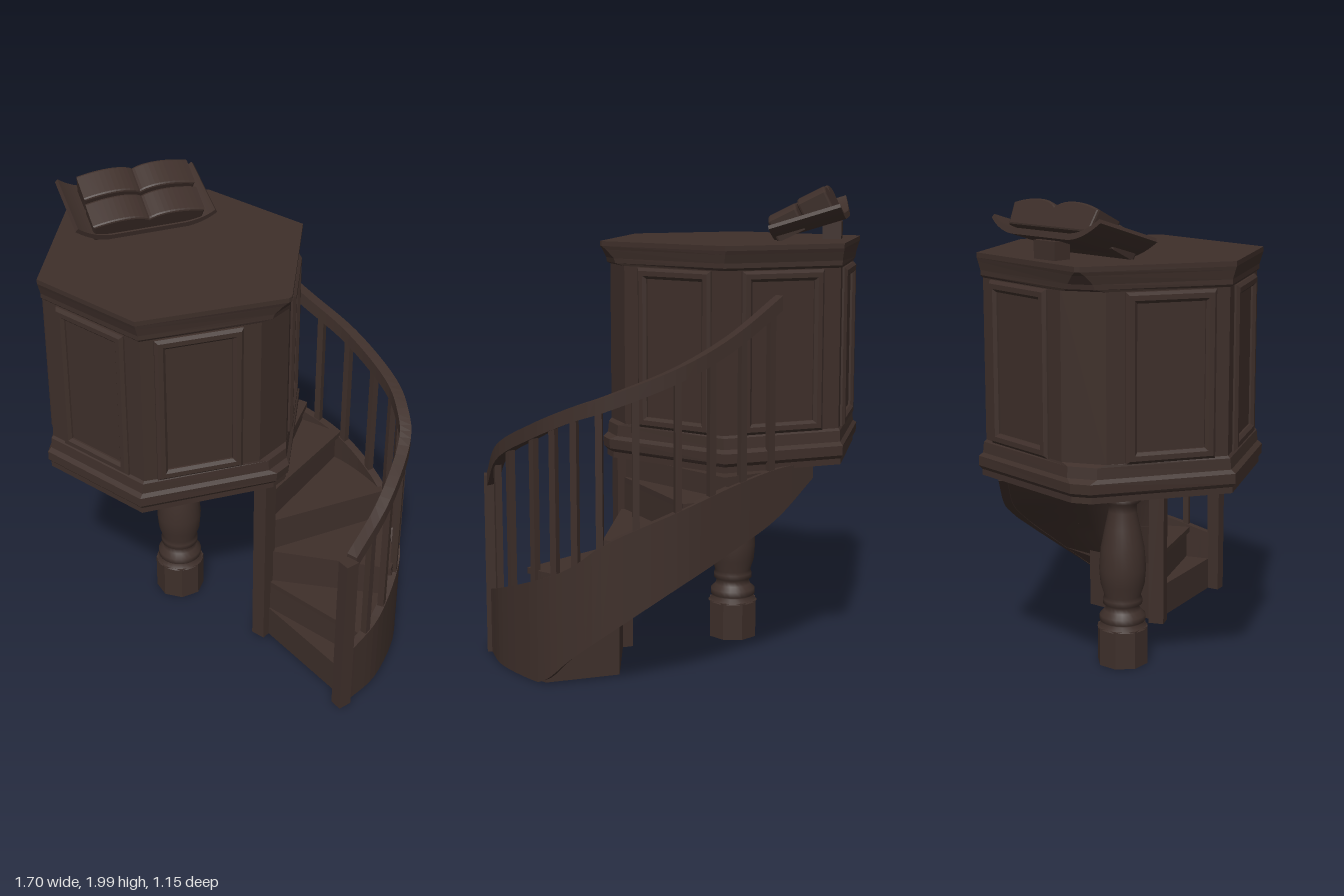
import * as THREE from 'three';
import { mergeVertices } from 'three/addons/utils/BufferGeometryUtils.js';

const wood = new THREE.MeshStandardMaterial({ color: 0x3e2f2a, side: THREE.DoubleSide });
wood.name = 'dark brown wood';

const V = (x, y, z) => new THREE.Vector3(x, y, z);

function mesh(name, geometry, parent, x = 0, y = 0, z = 0) {
  const m = new THREE.Mesh(geometry, wood);
  m.name = name;
  m.position.set(x, y, z);
  parent.add(m);
  return m;
}

// Joins rings of points into a faceted skin, with fan caps when the rings are closed.
function loft(rings, closed = true) {
  const pos = [];
  const tri = (...pts) => pts.forEach((p) => pos.push(p.x, p.y, p.z));
  const n = rings[0].length;
  for (let i = 0; i < rings.length - 1; i++) {
    for (let j = 0; j < (closed ? n : n - 1); j++) {
      const k = (j + 1) % n;
      const [a, b, c, d] = [rings[i][j], rings[i][k], rings[i + 1][k], rings[i + 1][j]];
      tri(a, d, b);
      tri(b, d, c);
    }
  }
  if (closed) {
    const first = rings[0], last = rings[rings.length - 1];
    for (let j = 1; j < n - 1; j++) {
      tri(first[0], first[j], first[j + 1]);
      tri(last[0], last[j + 1], last[j]);
    }
  }
  const g = new THREE.BufferGeometry();
  g.setAttribute('position', new THREE.Float32BufferAttribute(pos, 3));
  g.computeVertexNormals();
  return g;
}

// Hexagon ring: front/back sides at z = a, half width m; side corners at x = c, blunted by w.
const hexRing = (y, a, m, c, w) => [[c, w], [c, -w], [m, -a], [-m, -a], [-c, -w], [-c, w], [-m, a], [m, a]]
  .map(([x, z]) => V(x, y, z));

function buildPulpit() {
  const g = new THREE.Group();
  g.name = 'pulpitBox';
  g.position.set(-0.245, 0, 0.04);
  const hex = (name, levels) => mesh(name, loft(levels.map((l) => hexRing(...l))), g);
  hex('baseMoulding', [[0.855, 0.525, 0.262, 0.57, 0.04], [0.88, 0.525, 0.262, 0.57, 0.04],
    [0.895, 0.538, 0.265, 0.585, 0.04], [0.935, 0.538, 0.265, 0.588, 0.04],
    [0.95, 0.52, 0.262, 0.56, 0.06], [0.995, 0.515, 0.262, 0.555, 0.06], [1.005, 0.505, 0.26, 0.533, 0.09]]);
  hex('body', [[1.0, 0.505, 0.26, 0.533, 0.09], [1.68, 0.505, 0.26, 0.533, 0.09]]);
  hex('cornice', [[1.67, 0.505, 0.26, 0.533, 0.09], [1.68, 0.515, 0.262, 0.56, 0.055],
    [1.7, 0.515, 0.262, 0.565, 0.05], [1.735, 0.525, 0.262, 0.59, 0.025],
    [1.75, 0.53, 0.262, 0.605, 0.01], [1.77, 0.53, 0.262, 0.605, 0.01]]);

  // Moulded panel frame on every side
  const rect = (S, w, h) => {
    const s = new S();
    s.moveTo(-w, -h); s.lineTo(w, -h); s.lineTo(w, h); s.lineTo(-w, h); s.closePath();
    return s;
  };
  const shape = rect(THREE.Shape, 0.17, 0.32);
  shape.holes.push(rect(THREE.Path, 0.15, 0.3));
  const frame = new THREE.ExtrudeGeometry(shape, {
    depth: 0.01, bevelThickness: 0.012, bevelSize: 0.012, bevelSegments: 1 });
  const turn = 0.988;
  for (const [x, z, t] of [[0, 0.503, 0], [0.39, 0.305, turn], [0.39, -0.305, Math.PI - turn],
    [0, -0.503, Math.PI], [-0.39, -0.305, Math.PI + turn], [-0.39, 0.305, -turn]]) {
    mesh('panelFrame', frame, g, x, 1.335, z).rotation.y = t;
  }
  return g;
}

function buildColumn() {
  const g = new THREE.Group();
  g.name = 'column';
  g.position.set(-0.247, 0, 0.04);
  mesh('columnBlock', new THREE.CylinderGeometry(0.11, 0.11, 0.165, 8).toNonIndexed(), g, 0, 0.0825, 0)
    .geometry.computeVertexNormals();
  const profile = [[0.108, 0.16], [0.085, 0.18], [0.098, 0.19], [0.098, 0.215], [0.078, 0.235],
    [0.07, 0.255], [0.084, 0.265], [0.084, 0.285], [0.078, 0.3], [0.094, 0.35], [0.1, 0.42],
    [0.093, 0.51], [0.075, 0.6], [0.06, 0.67], [0.06, 0.7], [0.078, 0.715], [0.078, 0.735],
    [0.062, 0.75], [0.075, 0.785], [0.11, 0.8], [0.12, 0.82], [0.12, 0.86]];
  mesh('columnShaft', new THREE.LatheGeometry(profile.map((p) => new THREE.Vector2(...p)), 24), g);
  return g;
}

function buildStair() {
  const g = new THREE.Group();
  g.name = 'spiralStair';
  // Outer line of the stair: x, z, stringer bottom, stringer top, rail height
  const table = [[0.808, 0.18, 0, 0.28, 0.77], [0.812, -0.02, 0, 0.34, 0.93],
    [0.735, -0.27, 0, 0.43, 1.05], [0.64, -0.39, 0.12, 0.5, 1.12],
    [0.5, -0.485, 0.25, 0.62, 1.18], [0.25, -0.55, 0.42, 0.73, 1.28],
    [0.02, -0.535, 0.54, 0.81, 1.39], [-0.2, -0.49, 0.65, 0.86, 1.53], [-0.39, -0.44, 0.8, 0.87, 1.66]];
  const last = table.length - 1, railEnd = 7.1 / last;
  const curve = (col) => new THREE.CatmullRomCurve3(
    table.map((r) => V(r[0], r[col], r[1])), false, 'catmullrom');
  const bottom = curve(2), top = curve(3), rail = curve(4);
  const samples = (start, end) => Array.from({ length: 41 }, (_, i) => start + (end - start) * i / 40);
  const low = (t) => Math.max(0, bottom.getPoint(t).y);

  // Upright rectangular section swept along the outer line
  const sweep = (end, y0, y1, half) => loft(samples(0, end).map((t) => {
    const p = rail.getPoint(t), d = rail.getTangent(t);
    const n = V(d.z, 0, -d.x).normalize().multiplyScalar(half);
    return [[1, y0], [1, y1], [-1, y1], [-1, y0]].map(([s, y]) =>
      V(p.x + n.x * s, y(t), p.z + n.z * s));
  }));
  mesh('stringer', sweep(1, low, (t) => top.getPoint(t).y, 0.018), g);
  mesh('handrail', sweep(railEnd, (t) => rail.getPoint(t).y - 0.035, (t) => rail.getPoint(t).y + 0.025, 0.024), g);

  // Smooth underside from an inner line out to the stringer
  const centre = V(0.27, 0, 0.05), baseCorner = V(0.41, 0, -0.31);
  const soffit = (i0, i1, inner) => {
    const skin = loft(samples(i0 / last, i1 / last).map((t, i) => {
      const p = rail.getPoint(t), q = inner(i / 40), y = low(t) + 0.002;
      return [0, 0.25, 0.5, 0.75, 1].map((f) => V(q.x + (p.x - q.x) * f, y, q.z + (p.z - q.z) * f));
    }), false);
    skin.deleteAttribute('normal');
    const smooth = mergeVertices(skin);
    smooth.computeVertexNormals();
    mesh('stairSoffit', smooth, g);
  };
  const baseEdge = rail.getPoint(2.15 / last);
  soffit(2.15, 3.9, (f) => baseEdge.clone().lerp(baseCorner, f));
  soffit(3.9, last, () => centre);

  // Wedge blocks from the centre out to the stringer
  const wedge = (i0, i1, y0, y1, extra = []) => loft([y0, y1].map((y) => {
    const ring = [V(centre.x, y, centre.z)];
    for (let k = 0; k <= 6; k++) {
      const p = rail.getPoint((i0 + (i1 - i0) * k / 6) / last);
      ring.push(V(p.x, y, p.z));
    }
    return ring.concat(extra.map((p) => V(p.x, y, p.z)));
  }));
  mesh('stairBase', wedge(0.6, 2.15, 0, 0.28, [baseCorner]), g);
  const steps = [[0, 0.6, 0, 0.15], [0.6, 1.75, 0.1, 0.3], [1.75, 3.9, 0.26, 0.465],
    [3.9, 5.2, 0.45, 0.62], [5.2, 6, 0.58, 0.76], [6, 7, 0.68, 0.85]];
  for (const [i0, i1, y0, y1] of steps) {
    mesh('step', wedge(i0, i1, y0, y1 - 0.02), g);
    mesh('tread', wedge(Math.max(0, i0 - 0.08), i1, y1 - 0.025, y1), g);
  }

  // Balusters and posts
  for (let i = 1; i <= 11; i++) {
    const t = railEnd * i / 11.3, p = rail.getPoint(t), d = rail.getTangent(t);
    const y0 = top.getPoint(t).y - 0.04, h = p.y - y0;
    mesh('baluster', new THREE.BoxGeometry(0.028, h, 0.028), g, p.x, y0 + h / 2, p.z)
      .rotation.y = Math.atan2(d.x, d.z);
  }
  mesh('innerPost', new THREE.BoxGeometry(0.065, 0.86, 0.07), g, 0.265, 0.43, 0.06);
  mesh('newelPost', new THREE.BoxGeometry(0.055, 0.78, 0.06), g, 0.811, 0.39, 0.205).rotation.y = -0.25;
  return g;
}

function buildLectern() {
  const g = new THREE.Group();
  g.name = 'lectern';
  g.position.set(-0.555, 1.838, -0.085);
  g.rotation.y = Math.PI / 3;
  mesh('lecternFoot', new THREE.BoxGeometry(0.12, 0.08, 0.08), g, 0, -0.035, -0.09);

  // Cover board with upturned ends
  const cover = new THREE.Shape();
  cover.moveTo(-0.32, 0.05);
  cover.quadraticCurveTo(-0.24, -0.02, -0.16, -0.025);
  cover.lineTo(0.16, -0.025);
  cover.quadraticCurveTo(0.24, -0.02, 0.3, 0.03);
  cover.lineTo(0.29, 0.045);
  cover.quadraticCurveTo(0.24, 0.005, 0.16, 0);
  cover.lineTo(-0.16, 0);
  cover.quadraticCurveTo(-0.24, 0.005, -0.31, 0.065);
  const board = mesh('coverBoard', new THREE.ExtrudeGeometry(cover, { depth: 0.31, bevelEnabled: false }), g);
  board.geometry.translate(0, 0, -0.155);
  board.rotation.x = 0.3;

  // Two rows of arched pages either side of the spine
  const book = new THREE.Group();
  book.name = 'openBook';
  book.rotation.x = 0.46;
  g.add(book);
  for (const s of [-1, 1]) {
    const page = new THREE.Shape();
    page.moveTo(0, -0.015);
    page.lineTo(s * 0.225, -0.015);
    page.lineTo(s * 0.235, 0.065);
    page.bezierCurveTo(s * 0.16, 0.09, s * 0.05, 0.1, 0, 0.06);
    for (const [z, y] of [[-0.115, 0.02], [0.025, 0.01]]) {
      mesh('pages', new THREE.ExtrudeGeometry(page, {
        depth: 0.11, bevelThickness: 0.01, bevelSize: 0.008, bevelSegments: 2 }), book, 0, y, z);
    }
  }
  return g;
}

export function createModel() {
  const model = new THREE.Group();
  model.name = 'pulpit';
  model.add(buildPulpit(), buildColumn(), buildStair(), buildLectern());
  return model;
}
